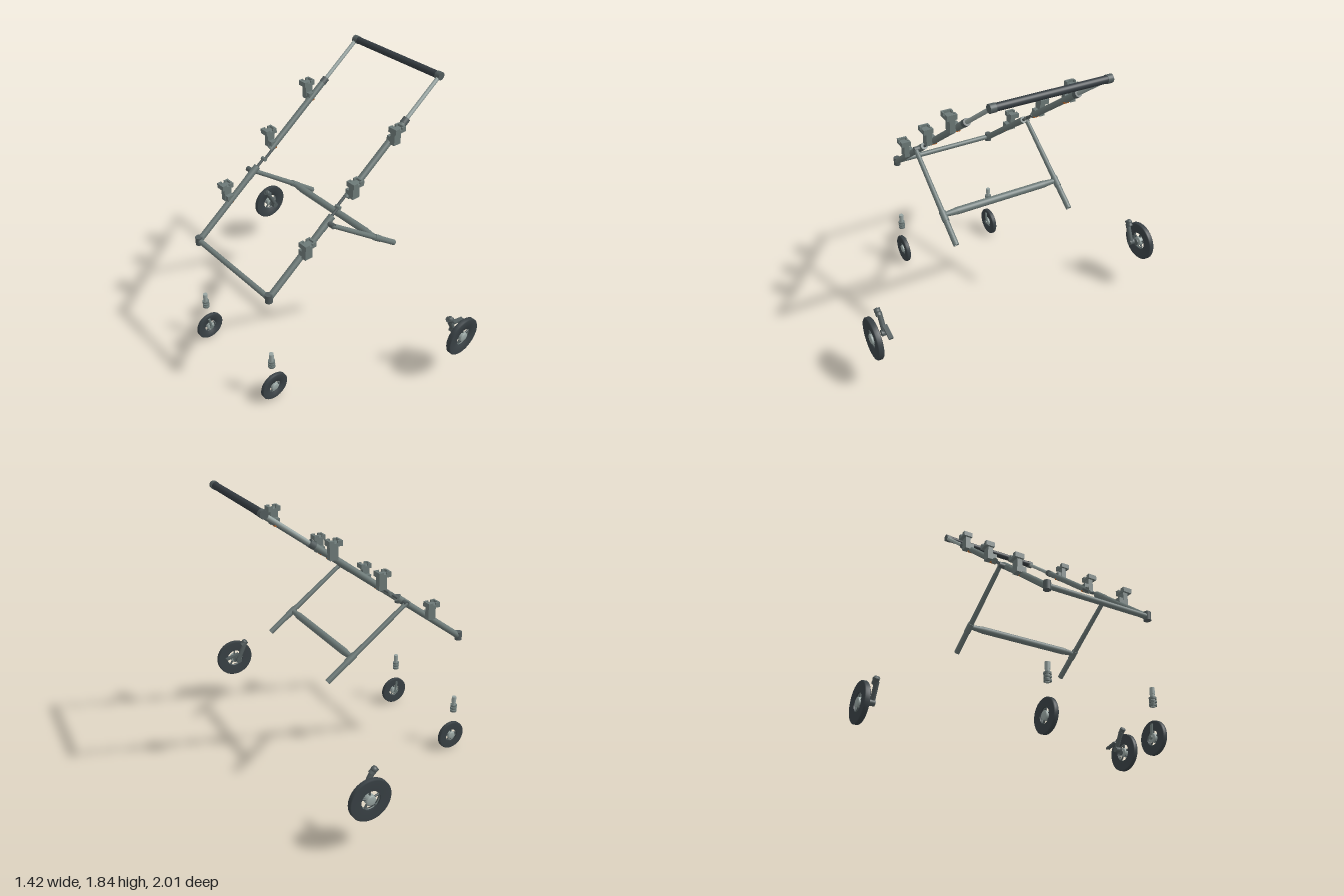
import * as THREE from 'three';

const mat = (name, color) => Object.assign(new THREE.MeshStandardMaterial({ color }), { name });
const frame = mat('frame grey', 0x6c7977);
const light = mat('light metal', 0x98a5a2);
const dark = mat('grip black', 0x343b40);
const tyreMat = mat('tyre black', 0x394145);
const joint = mat('joint grey', 0x525c5d);
const orange = mat('orange', 0xb5642a);
const V = (x, y, z) => new THREE.Vector3(x, y, z);

function add(parent, name, geometry, material, pos) {
  const m = new THREE.Mesh(geometry, material);
  m.name = name;
  if (pos) m.position.copy(pos);
  parent.add(m);
  return m;
}
const box = (p, name, w, h, d, material, x, y, z) =>
  add(p, name, new THREE.BoxGeometry(w, h, d), material, V(x, y, z));

// Round bar between two points; r2 is the radius at the far end
function rod(p, name, a, b, r, material, r2 = r, open = false) {
  const m = add(p, name, new THREE.CylinderGeometry(r2, r, a.distanceTo(b), 20, 1, open), material, a.clone().lerp(b, 0.5));
  m.quaternion.setFromUnitVectors(V(0, 1, 0), b.clone().sub(a).normalize());
  return m;
}
// Tube with an open bore between two points
function hollow(p, name, a, b, r, bore, material) {
  const h = a.distanceTo(b) / 2;
  const pts = [[bore, -h], [r, -h], [r, h], [bore, h], [bore, -h]].map(q => new THREE.Vector2(...q));
  const g = new THREE.LatheGeometry(pts, 20).toNonIndexed();
  g.computeVertexNormals();
  const m = add(p, name, g, material, a.clone().lerp(b, 0.5));
  m.quaternion.setFromUnitVectors(V(0, 1, 0), b.clone().sub(a).normalize());
}

// Wheel facing z: tyre, rim, spokes and domed hub
function wheel(p, name, r, hole, t, hubR, spokes) {
  const g = new THREE.Group();
  g.name = name;
  p.add(g);
  const h = t / 2, c = 0.006;
  const pts = [[hole, -h * 0.75], [r - c, -h], [r, -h + c], [r, h - c], [r - c, h], [hole, h * 0.75], [hole, -h * 0.75]];
  const tyre = new THREE.LatheGeometry(pts.map(q => new THREE.Vector2(...q)), 48);
  add(g, 'tyre', tyre, tyreMat).rotation.x = Math.PI / 2;
  const rim = new THREE.CylinderGeometry(hole, hole, t * 0.7, 40, 1, true);
  rim.scale(0.98, 1, 0.98);
  const rimMesh = add(g, 'rim', new THREE.TorusGeometry(hole, hole * 0.07, 8, 40), frame);
  rimMesh.position.z = 0;
  for (let i = 0; i < spokes; i++) {
    const a = Math.PI / 2 + i * Math.PI * 2 / spokes;
    rod(g, 'spoke', V(0, 0, 0), V(Math.cos(a) * hole, Math.sin(a) * hole, 0), hole * 0.11, joint);
  }
  rod(g, 'hub', V(0, 0, -h * 0.9), V(0, 0, h * 0.9), hubR, light);
  for (const s of [1, -1]) {
    const dome = add(g, 'hubCap', new THREE.SphereGeometry(hubR, 24, 8, 0, Math.PI * 2, 0, Math.PI / 2), light, V(0, 0, s * h * 0.9));
    dome.rotation.x = s * Math.PI / 2;
    dome.scale.y = 0.25;
  }
  return g;
}

// Clip-on mount: upright block, notched tray and orange catch on the rail
function mount(p, x, top, s) {
  const g = new THREE.Group();
  g.name = 'mount';
  g.position.set(x, top, 0);
  p.add(g);
  const z = s * 0.4;
  box(g, 'mountBody', 0.052, 0.09, 0.035, frame, 0, -0.07, s * 0.392);
  box(g, 'mountSaddle', 0.046, 0.035, 0.04, frame, 0, -0.088, s * 0.365);
  box(g, 'tray', 0.08, 0.018, 0.062, frame, 0, -0.022, z);
  for (const e of [-1, 1]) {
    box(g, 'trayEnd', 0.012, 0.016, 0.062, frame, e * 0.034, -0.007, z);
    for (const f of [-1, 1]) box(g, 'trayLip', 0.022, 0.016, 0.01, frame, e * 0.021, -0.007, z + f * 0.026);
  }
  box(g, 'catch', 0.022, 0.014, 0.034, orange, 0.004, -0.114, s * 0.357);
}

export function createModel() {
  const model = new THREE.Group();
  model.name = 'strollerFrame';
  const low = V(-0.63, 0.835, 0), high = V(0.683, 1.82, 0);
  // Point on the sloping rail at a given x
  const rail = (x, z) => {
    const p = low.clone().lerp(high, (x - low.x) / (high.x - low.x));
    p.z = z;
    return p;
  };
  const legTop = V(-0.19, 1.17, 0), legEnd = V(0.347, 0.78, 0);
  const leg = (t, z) => legTop.clone().lerp(legEnd, t).setZ(z);

  for (const s of [1, -1]) {
    const side = new THREE.Group();
    side.name = s > 0 ? 'frontSide' : 'backSide';
    model.add(side);
    const z = s * 0.356;

    // Rails, folding hinge and telescopic tube
    rod(side, 'lowerRail', rail(-0.63, z), rail(-0.2, z), 0.02, frame);
    rod(side, 'lowerRailCollar', rail(-0.23, z), rail(-0.15, z), 0.022, frame);
    rod(side, 'hingeLink', rail(-0.15, s * 0.354), rail(-0.095, s * 0.354), 0.009, joint);
    rod(side, 'hingeArm', rail(-0.105, s * 0.342), rail(-0.025, s * 0.342), 0.009, joint);
    rod(side, 'hingePin', rail(-0.1, s * 0.333), rail(-0.1, s * 0.368), 0.012, frame);
    rod(side, 'upperRail', rail(-0.04, z), rail(0.42, z), 0.02, frame);
    rod(side, 'railCollar', rail(0.395, z), rail(0.425, z), 0.0225, joint);
    rod(side, 'telescopicTube', rail(0.42, z), rail(0.683, z), 0.0125, light);

    // End joints
    rod(side, 'cornerSocket', V(-0.627, 0.813, z), V(-0.627, 0.868, z), 0.023, joint);
    rod(side, 'handleJoint', V(0.683, 1.82, s * 0.335), V(0.683, 1.82, s * 0.37), 0.025, joint);

    // Rear leg with pivot and open end
    rod(side, 'legPivot', leg(0.01, s * 0.345), leg(0.01, s * 0.412), 0.017, joint);
    rod(side, 'rearLeg', leg(0, s * 0.4), leg(0.72, s * 0.4), 0.014, frame, 0.017);
    rod(side, 'legCollar', leg(0.66, s * 0.4), leg(0.76, s * 0.4), 0.021, frame);
    hollow(side, 'legEnd', leg(0.72, s * 0.4), leg(1, s * 0.4), 0.018, 0.012, frame);
    rod(side, 'crossbarEnd', V(0.182, 0.897, s * 0.31), V(0.182, 0.897, s * 0.4), 0.022, frame, 0.014);

    // Mounts along the rail
    for (const [x, top] of [[-0.372, 1.14], [-0.016, 1.4], [0.3, 1.636]]) mount(side, x, top, s);

    // Small front wheel with its fork arm
    const fw = wheel(side, 'frontWheel', 0.097, 0.043, 0.03, 0.026, 5);
    fw.position.set(-0.615, 0.1, s * 0.357);
    rod(fw, 'forkArm', V(0, 0, -s * 0.02), V(-0.012, 0.075, -s * 0.02), 0.008, frame);
    rod(fw, 'axle', V(0, 0, -s * 0.03), V(0, 0, 0), 0.012, frame);

    // Swivel pin with ribs
    const pin = new THREE.Group();
    pin.name = 'swivelPin';
    pin.position.set(-0.627, 0, z);
    side.add(pin);
    rod(pin, 'pinShaft', V(0, 0.275, 0), V(0, 0.365, 0), 0.013, light);
    rod(pin, 'pinHead', V(0, 0.35, 0), V(0, 0.39, 0), 0.015, light);
    for (const y of [0.286, 0.306, 0.326]) rod(pin, 'pinRib', V(0, y - 0.006, 0), V(0, y + 0.006, 0), 0.022, frame);

    // Large rear wheel with stub axle
    const rw = wheel(side, 'rearWheel', 0.131, 0.06, 0.035, 0.031, 5);
    rw.position.set(0.402, 0.35, s * 0.9825);
    rod(rw, 'stubAxle', V(0, 0, -s * 0.034), V(0, 0, 0), 0.01, joint);
    rod(rw, 'axleFlange', V(0, 0, -s * 0.036), V(0, 0, -s * 0.028), 0.022, joint);

    // Wheel bracket set apart from the wheel
    const br = new THREE.Group();
    br.name = 'wheelBracket';
    side.add(br);
    rod(br, 'bracketArm', V(0.342, 0.475, s * 0.913), V(0.398, 0.365, s * 0.91), 0.016, joint);
    rod(br, 'bracketHub', V(0.396, 0.36, s * 0.895), V(0.396, 0.36, s * 0.93), 0.02, joint);
    rod(br, 'bracketSocket', V(0.325, 0.495, s * 0.92), V(0.36, 0.465, s * 0.92), 0.019, joint);
    add(br, 'bracketKnob', new THREE.SphereGeometry(0.02, 20, 14), joint, V(0.34, 0.488, s * 0.922));
    if (s > 0) {
      const pedal = box(br, 'brakePedal', 0.1, 0.012, 0.028, joint, 0.445, 0.4, 0.905);
      pedal.rotation.z = -0.25;
    }
  }

  // Bars joining both sides
  rod(model, 'handleGrip', V(0.683, 1.82, -0.35), V(0.683, 1.82, 0.35), 0.022, dark);
  rod(model, 'frontBar', V(-0.627, 0.84, -0.35), V(-0.627, 0.84, 0.35), 0.017, frame);
  rod(model, 'rearCrossbar', V(0.182, 0.897, -0.31), V(0.182, 0.897, 0.31), 0.023, frame);
  return model;
}
